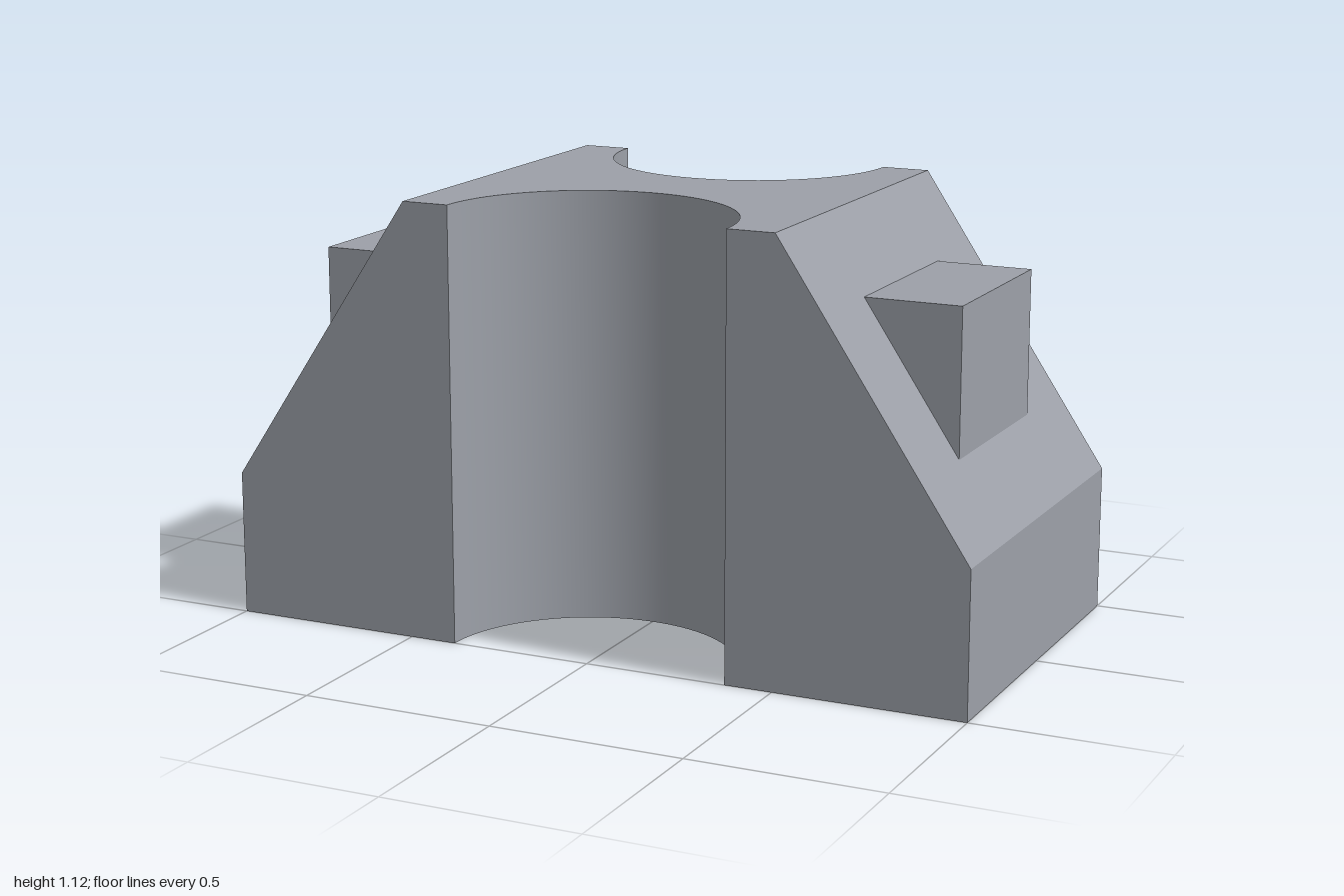
import * as THREE from 'three';
import { toCreasedNormals } from 'three/addons/utils/BufferGeometryUtils.js';

const HEIGHT = 1.125, SHOULDER = 0.375, HALF_DEPTH = 0.5, RADIUS = 0.375;

// Block lofted along x from rectangles: height falls at the ends, depth narrows at the grooves
function blockGeometry() {
  const stations = [[-1, SHOULDER, HALF_DEPTH], [-0.5, HEIGHT, HALF_DEPTH]];
  const steps = 48;
  for (let i = 0; i <= steps; i++) {
    const a = Math.PI * (1 - i / steps);
    stations.push([RADIUS * Math.cos(a), HEIGHT, HALF_DEPTH - RADIUS * Math.sin(a)]);
  }
  stations.push([0.5, HEIGHT, HALF_DEPTH], [1, SHOULDER, HALF_DEPTH]);

  const positions = [], index = [];
  for (const [x, h, w] of stations) positions.push(x, 0, w, x, 0, -w, x, h, -w, x, h, w);
  const last = (stations.length - 1) * 4;
  for (let s = 0; s < last; s += 4) {
    for (let k = 0; k < 4; k++) {
      const a = s + k, b = s + (k + 1) % 4;
      index.push(a, b, b + 4, a, b + 4, a + 4);
    }
  }
  // End faces
  index.push(0, 2, 1, 0, 3, 2, last, last + 1, last + 2, last, last + 2, last + 3);

  const geometry = new THREE.BufferGeometry();
  geometry.setAttribute('position', new THREE.Float32BufferAttribute(positions, 3));
  geometry.setIndex(index);
  return toCreasedNormals(geometry, Math.PI / 6);
}

// Triangular lug standing on the left slope
function lugGeometry() {
  const shape = new THREE.Shape([
    new THREE.Vector2(0.625, 0.9375),
    new THREE.Vector2(0.875, 0.5625),
    new THREE.Vector2(0.875, 0.9375),
  ]);
  return new THREE.ExtrudeGeometry(shape, { depth: 0.5, bevelEnabled: false }).translate(0, 0, -0.25);
}

export function createModel() {
  const group = new THREE.Group();
  const material = new THREE.MeshStandardMaterial({ color: 0x9ca0a8 });
  const add = (name, geometry) => {
    const mesh = new THREE.Mesh(geometry, material);
    mesh.name = name;
    group.add(mesh);
    return mesh;
  };

  add('groovedBlock', blockGeometry());

  // The lugs mirror each other by a half turn
  const lug = lugGeometry();
  add('leftLug', lug);
  add('rightLug', lug).rotation.y = Math.PI;

  return group;
}
